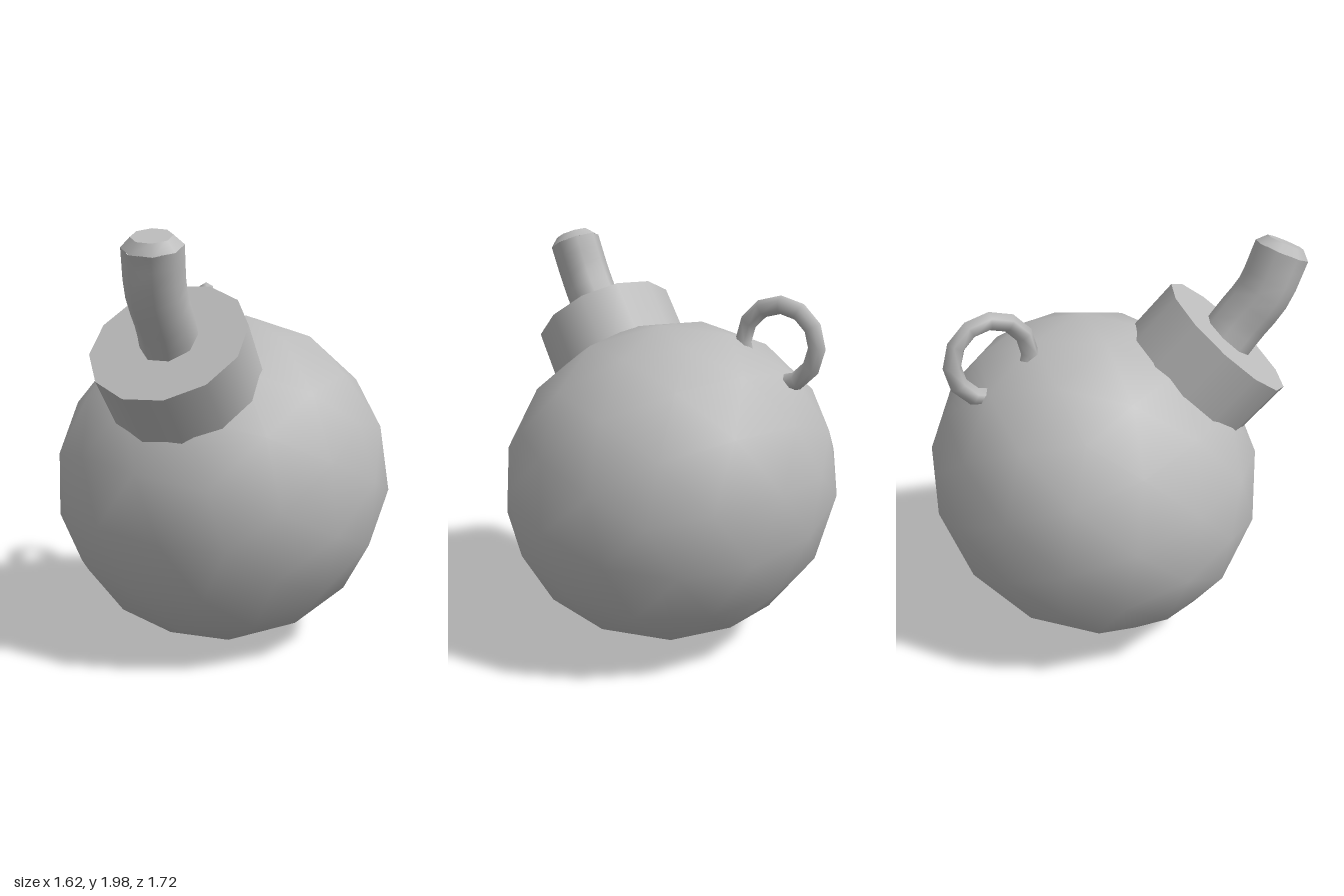
import * as THREE from 'three';

const V = (x, y, z) => new THREE.Vector3(x, y, z);
const UP = V(0, 1, 0);

export function createModel() {
  const model = new THREE.Group();
  const grey = new THREE.MeshStandardMaterial({ color: 0xbbbbbb });
  grey.name = 'grey';
  const add = (name, geometry, parent = model) => {
    const mesh = new THREE.Mesh(geometry, grey);
    mesh.name = name;
    parent.add(mesh);
    return mesh;
  };

  // Body: a low-poly, smooth ball, slightly flattened along the neck's axis
  const axis = V(-0.277, 0.762, 0.585).normalize();
  const pole = V(0, 1, (1 + Math.sqrt(5)) / 2).normalize();
  const ball = new THREE.IcosahedronGeometry(0.833, 2);
  ball.applyQuaternion(new THREE.Quaternion().setFromUnitVectors(pole, UP));
  ball.scale(1, 0.938, 1);
  const body = add('body', ball);
  body.quaternion.setFromUnitVectors(UP, axis);
  body.position.set(0, 0.811, -0.052);

  // Twelve-sided neck, sunk into the body and leaning forward
  const neckTop = V(-0.265, 1.53, 0.515);
  const length = 0.44;
  const neck = add('neck', new THREE.CylinderGeometry(0.36, 0.36, length, 12));
  const corner = V(-0.155, 0.159, -0.28);
  corner.addScaledVector(axis, -corner.dot(axis)).normalize();
  neck.quaternion.setFromRotationMatrix(
    new THREE.Matrix4().makeBasis(axis.clone().cross(corner), axis, corner));
  neck.position.copy(neckTop).addScaledVector(axis, -length / 2);

  // Bent fuse with a bevelled tip
  const fuse = new THREE.Group();
  fuse.name = 'fuse';
  model.add(fuse);
  const path = new THREE.CatmullRomCurve3([
    V(-0.25, 1.45, 0.46), V(-0.27, 1.59, 0.565), V(-0.31, 1.74, 0.665), V(-0.32, 1.925, 0.74),
  ]);
  add('fuseCord', new THREE.TubeGeometry(path, 8, 0.13, 8, false), fuse);
  const end = path.getTangent(1);
  const tip = add('fuseTip', new THREE.CylinderGeometry(0.088, 0.13, 0.042, 8), fuse);
  tip.quaternion.setFromUnitVectors(UP, end);
  tip.position.copy(path.getPoint(1)).addScaledVector(end, 0.02);

  // Carrying ring on the back
  const ring = add('ring', new THREE.TorusGeometry(0.182, 0.042, 6, 12));
  ring.rotation.y = Math.PI / 2;
  ring.position.set(-0.06, 1.54, -0.585);

  return model;
}
